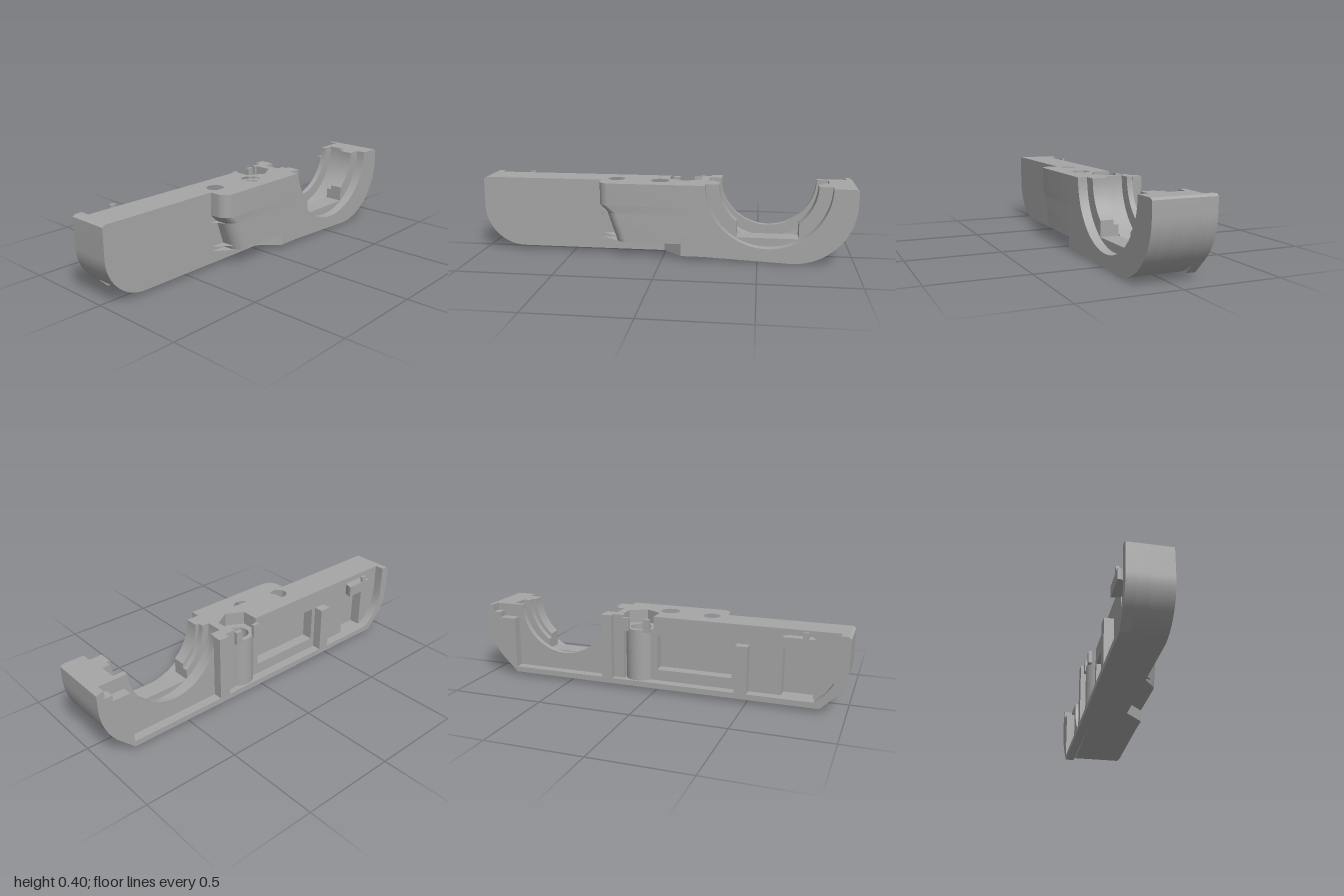
import * as THREE from 'three';
import { toCreasedNormals } from 'three/addons/utils/BufferGeometryUtils.js';

const BACK = -0.16, WALL = -0.11, STEP = 0.06, FRONT = 0.16, TOP = 0.38;

export function createModel() {
  const group = new THREE.Group();
  const grey = new THREE.MeshStandardMaterial({ color: 0xa6a6a6 });
  grey.name = 'grey plastic';

  function add(name, geo) {
    const mesh = new THREE.Mesh(toCreasedNormals(geo, 0.5), grey);
    mesh.name = name;
    group.add(mesh);
    return mesh;
  }
  // points along an arc
  function arc(cx, cy, r, a0, a1, n = 24) {
    return Array.from({ length: n + 1 }, (_, i) => {
      const a = a0 + (a1 - a0) * i / n;
      return [cx + r * Math.cos(a), cy + r * Math.sin(a)];
    });
  }
  function makeShape(pts, holes = [], flip = 1) {
    const vec = list => list.map(([x, y]) => new THREE.Vector2(x, y * flip));
    const shape = new THREE.Shape(vec(pts));
    holes.forEach(h => shape.holes.push(new THREE.Path(vec(h))));
    return shape;
  }
  const extrude = (shape, depth) => new THREE.ExtrudeGeometry(shape, { depth, bevelEnabled: false });
  // slab drawn in x,y and extruded along z
  function slab(name, pts, z0, z1, holes) {
    return add(name, extrude(makeShape(pts, holes), z1 - z0).translate(0, 0, z0));
  }
  // layer drawn in x,z and extruded along y
  function layer(pts, y0, y1, holes) {
    return extrude(makeShape(pts, holes, -1), y1 - y0).rotateX(-Math.PI / 2).translate(0, y0, 0);
  }
  function box(name, x0, x1, y0, y1, z0, z1) {
    add(name, new THREE.BoxGeometry(x1 - x0, y1 - y0, z1 - z0)
      .translate((x0 + x1) / 2, (y0 + y1) / 2, (z0 + z1) / 2));
  }
  const rect = (x0, x1, y0, y1) => [[x0, y0], [x1, y0], [x1, y1], [x0, y1]];
  const PI = Math.PI;

  // Left arm: rounded end, with two shallow pockets in its back layer
  const leftEnd = [[-0.985, TOP], [-1, 0.37], ...arc(-0.78, 0.22, 0.22, PI, 1.5 * PI)];
  slab('leftArmFront', [...leftEnd, [-0.34, 0], [-0.34, TOP]], -0.05, STEP);
  slab('leftArmBack', [...leftEnd, [-0.34, 0], [-0.34, 0.09], [-0.41, 0.09], [-0.41, 0.28],
    [-0.34, 0.28], [-0.34, TOP]], WALL, -0.05, [rect(-0.83, -0.67, 0.03, 0.31)]);

  // Centre block: stacked layers with screw holes, rear pocket, nut seat and tapering left edge
  const taper = y => y >= 0.26 ? 0 : y >= 0.22 ? (0.26 - y) : 0.04 + (0.22 - y) / 3;
  const nutX = 0.105, nutZ = -0.07;
  const boreNotch = arc(nutX, nutZ, 0.055, PI + 0.811, -0.811);
  const hexNotch = [[0.018, WALL], [0.018, -0.02], [nutX, 0.03], [0.192, -0.02], [0.192, WALL]];
  const screwHoles = [arc(-0.265, 0.015, 0.045, 0, 2 * PI, 32), arc(-0.025, 0.04, 0.05, 0, 2 * PI, 32)];
  const frontOutline = [[0.22, WALL], [0.22, FRONT], ...arc(-0.28, 0.10, 0.06, PI / 2, PI, 10),
    [-0.34, STEP], [-0.34, 0.058]];
  const levels = [0.065, 0.09, 0.22, 0.26, 0.28, 0.31, TOP];
  for (let i = 0; i < levels.length - 1; i++) {
    const y0 = levels[i], y1 = levels[i + 1];
    const pocket = y0 >= 0.09 && y1 <= 0.28;
    const rear = pocket ? [[-0.34, -0.05], [0, -0.05], [0, WALL]] : [[-0.34, WALL]];
    const notch = y0 >= 0.31 ? hexNotch : boreNotch;
    const geo = layer([...rear, ...notch, ...frontOutline], y0, y1, y0 >= 0.22 ? screwHoles : []);
    const p = geo.attributes.position;
    for (let k = 0; k < p.count; k++) {
      if (p.getX(k) < -0.279 && p.getZ(k) > 0.0595) p.setX(k, p.getX(k) + taper(p.getY(k)));
    }
    add('centreBlock', geo);
  }
  add('centreBase', layer([[-0.34, WALL], [0.22, WALL], [0.22, FRONT], [0.1, FRONT],
    [0, STEP], [-0.34, STEP]], 0, 0.065));

  // Right cradle: half bore with stepped grooves, one slab per step
  const rightEnd = [...arc(0.68, 0.30, 0.32, -PI / 2, 0), [1, 0.37], [0.985, TOP]];
  const cx = 0.55;
  function cradle(r, z0, z1, flat) {
    let bore = arc(cx, TOP, r, 0, -PI, 48);
    if (flat) {
      const half = 0.162, a = Math.acos(half / r);
      bore = [...arc(cx, TOP, r, 0, -a, 16), [cx + half, 0.1], [cx - half, 0.1],
        ...arc(cx, TOP, r, -PI + a, -PI, 16)];
    }
    slab('cradle', [[0.22, 0], ...rightEnd, ...bore, [0.22, TOP]], z0, z1);
  }
  cradle(0.255, WALL, -0.08);
  cradle(0.315, -0.08, 0.01);
  cradle(0.275, 0.01, 0.04, true);
  cradle(0.255, 0.04, 0.11, true);
  cradle(0.325, 0.11, FRONT);

  // Rear rim: floor strip and the two chamfered ends
  slab('rearFloor', rect(-0.84, 0.83, 0, 0.03), BACK, WALL);
  slab('leftRim', [[-0.985, TOP], [-1, 0.37], ...arc(-0.78, 0.22, 0.22, PI, 1.25 * PI, 12),
    [-0.871, 0], [-0.84, 0], [-0.84, 0.03], [-0.89, 0.07], [-0.93, 0.13], [-0.95, 0.21],
    [-0.95, TOP]], BACK, WALL);
  slab('rightRim', [[0.83, 0], ...arc(0.68, 0.30, 0.32, -PI / 4, 0, 12), [1, 0.37], [0.985, TOP],
    [0.96, TOP], [0.96, 0.34], [0.92, 0.34], [0.92, 0.31], [0.83, 0.31]], BACK, WALL);

  // Rear ribs
  box('tallRib', 0.24, 0.30, 0.03, TOP, BACK, WALL);
  box('ribFoot', 0.18, 0.24, 0.03, TOP, -0.13, WALL);
  box('shortRib', -0.50, -0.435, 0.03, 0.28, BACK, WALL);

  // Bolt boss with bore, and the fins that hold the nut
  const boss = [[0.055, 0.03], [0.08, 0.03], [0.08, 0.31], [0.055, 0.31], [0.055, 0.03]]
    .map(([x, y]) => new THREE.Vector2(x, y));
  add('boltBoss', new THREE.LatheGeometry(boss, 40).translate(nutX, 0, nutZ));
  for (const s of [-1, 1]) {
    box('nutFin', nutX + s * 0.058 - 0.018, nutX + s * 0.058 + 0.018, 0.30, 0.37, -0.15, -0.13);
  }

  // Half-round end boss at the left pocket
  add('endBoss', layer([[-0.83, BACK], ...arc(-0.75, BACK, 0.08, PI, 0, 16).map(([x, z]) =>
    [x, Math.min(z, WALL)])], 0.29, 0.35));
  box('endFin', -0.80, -0.77, 0.35, 0.38, BACK, -0.145);
  return group;
}
